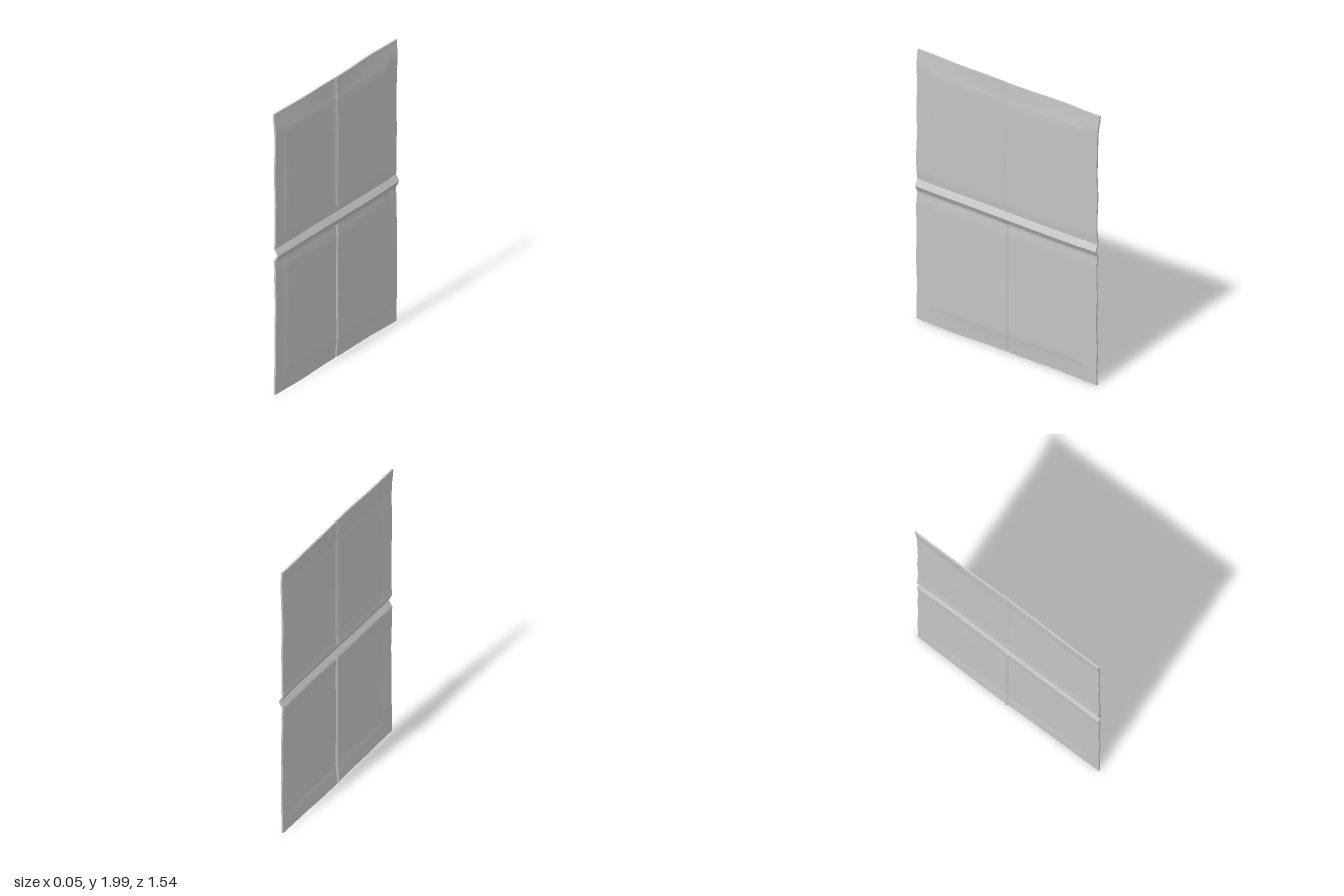
import * as THREE from 'three';
import { toCreasedNormals } from 'three/addons/utils/BufferGeometryUtils.js';

const THICK = 0.013;
const smooth = THREE.MathUtils.smoothstep;
// Triangular bump of half-width w around c
const tent = (v, c, w) => Math.max(0, 1 - Math.abs(v - c) / w);

// Grid lines: key creases, with gaps subdivided to a maximum step
function gridLines(keys, step) {
  const out = [keys[0]];
  for (let i = 1; i < keys.length; i++) {
    const n = Math.ceil((keys[i] - keys[i - 1]) / step - 1e-6);
    for (let k = 1; k <= n; k++) out.push(keys[i - 1] + (keys[i] - keys[i - 1]) * k / n);
  }
  return out;
}

// Depth of the sheet's middle: folds, raised inner panel and gentle warping
function depth(y, z) {
  let x = 0.001 * Math.sin(9 * y + 4 * z) + 0.0015 * Math.sin(5 * z - 3 * y);
  // horizontal fold ridge, with shallow valleys either side
  x += 0.021 * tent(y, 1, 0.045) - 0.006 * (tent(y, 1.045, 0.06) + tent(y, 0.95, 0.06));
  // vertical fold, reversing direction across the horizontal one
  x += (y > 1 ? 0.006 : -0.01) * tent(z, 0, 0.012) * smooth(Math.abs(y - 1), 0.03, 0.06);
  // raised inner rectangle
  const inset = Math.min(0.645 - Math.abs(z), y - 0.13, 1.87 - y);
  x += 0.003 * smooth(inset, -0.012, 0.012);
  // border curling back at the top and forward at the bottom
  x -= 0.008 * smooth(y, 1.87, 2) * (1 - 0.5 * Math.cos(5 * z));
  x -= 0.008 * (1 - smooth(y, 0.01, 0.13)) * (0.6 + 0.4 * Math.cos(4 * z));
  return x;
}

// Slightly uneven outline
function place(y, z) {
  const edge = Math.abs(z) / 0.765;
  const wob = 0.003 * Math.sin(17 * y) * Math.pow(edge, 12);
  let pz = z + wob;
  if (z < 0) pz += edge * edge * (0.012 - 0.02 * smooth(y, 1.75, 2));
  const py = y + 0.002 * Math.sin(11 * z) * (Math.abs(y - 1) > 0.95 ? 1 : 0);
  return [py, pz];
}

function sheetGeometry() {
  const ys = gridLines([0.008, 0.118, 0.13, 0.142, 0.89, 0.95, 0.955, 0.97, 1, 1.03, 1.045, 1.105,
    1.858, 1.87, 1.882, 1.998], 0.04);
  const zs = gridLines([-0.765, -0.657, -0.645, -0.633, -0.012, 0, 0.012, 0.633, 0.645, 0.657, 0.765], 0.04);
  const n = zs.length, loop = 2 * n, pos = [], idx = [];
  // each row is a closed loop: one face forwards, the other backwards
  for (const y of ys) {
    for (let k = 0; k < loop; k++) {
      const z = zs[k < n ? k : loop - 1 - k];
      const [py, pz] = place(y, z);
      pos.push(depth(y, z) + (k < n ? 1 : -1) * THICK / 2, py, pz);
    }
  }
  const quad = (a, b, c, d) => idx.push(a, b, c, a, c, d);
  for (let i = 0; i < ys.length - 1; i++) {
    for (let k = 0; k < loop; k++) {
      const k2 = (k + 1) % loop, r = i * loop, s = r + loop;
      quad(r + k, s + k, s + k2, r + k2);
    }
  }
  // bottom and top edges
  const t = (ys.length - 1) * loop;
  for (let j = 0; j < n - 1; j++) {
    const f = j, g = j + 1, bf = loop - 1 - j, bg = loop - 2 - j;
    quad(f, g, bg, bf);
    quad(t + bf, t + bg, t + g, t + f);
  }
  const geo = new THREE.BufferGeometry();
  geo.setAttribute('position', new THREE.Float32BufferAttribute(pos, 3));
  geo.setIndex(idx);
  return toCreasedNormals(geo, 0.5);
}

export function createModel() {
  const group = new THREE.Group();
  group.name = 'foldedSheet';
  const paper = new THREE.MeshStandardMaterial({ color: 0xc4c4c4 });
  paper.name = 'paper grey';
  const sheet = new THREE.Mesh(sheetGeometry(), paper);
  sheet.name = 'creasedSheet';
  group.add(sheet);
  return group;
}
